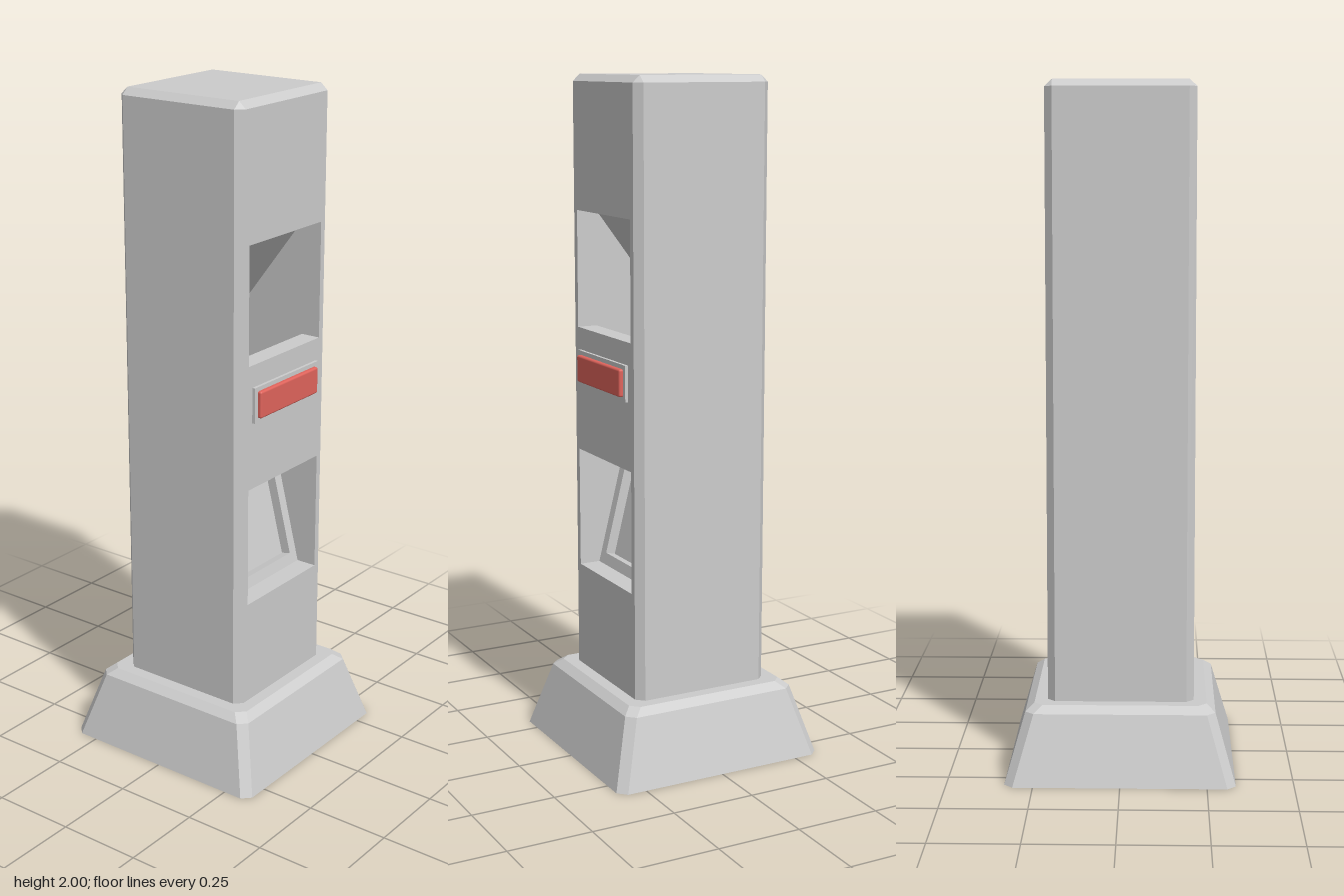
import * as THREE from 'three';
import { RoundedBoxGeometry } from 'three/addons/geometries/RoundedBoxGeometry.js';

const grey = new THREE.MeshStandardMaterial({ color: 0xcccccc });
const red = new THREE.MeshStandardMaterial({ color: 0xe0645c });

function mesh(name, geometry, material = grey) {
  const m = new THREE.Mesh(geometry, material);
  m.name = name;
  return m;
}

// Flat-shaded geometry from polygons, each fanned from its first corner
function fromPolygons(polygons) {
  const pos = [];
  for (const p of polygons)
    for (let i = 1; i < p.length - 1; i++) pos.push(...p[0], ...p[i], ...p[i + 1]);
  const g = new THREE.BufferGeometry();
  g.setAttribute('position', new THREE.Float32BufferAttribute(pos, 3));
  g.computeVertexNormals();
  return g;
}

// Square ring with cut corners; its first edge is the front
function ring(y, h, c) {
  const k = h - c;
  return [[-k, h], [k, h], [h, k], [h, -k], [k, -h], [-k, -h], [-h, -k], [-h, k]]
    .map(([x, z]) => [x, y, z]);
}

// Closed loft through rings; openFront leaves out the lowest front face
function loft(rings, openFront = false) {
  const faces = [[...rings[0]].reverse(), rings[rings.length - 1]];
  for (let r = 0; r < rings.length - 1; r++)
    for (let i = 0; i < 8; i++) {
      if (openFront && r === 0 && i === 0) continue;
      const j = (i + 1) % 8, a = rings[r], b = rings[r + 1];
      faces.push([a[i], a[j], b[j], b[i]]);
    }
  return fromPolygons(faces);
}

function rectangle(x0, x1, y0, y1, Type = THREE.Shape) {
  return new Type([[x0, y0], [x1, y0], [x1, y1], [x0, y1]].map(p => new THREE.Vector2(...p)));
}

// Inward-facing pocket: a [y, z] profile swept across x, with two side walls
function pocket(name, w, profile, skip = -1) {
  const group = new THREE.Group();
  group.name = name;
  const faces = [];
  for (let i = 0; i < profile.length - 1; i++) {
    if (i === skip) continue;
    const p = profile[i], q = profile[i + 1];
    faces.push([[w, ...p], [-w, ...p], [-w, ...q], [w, ...q]]);
  }
  group.add(mesh(name + 'Lining', fromPolygons(faces)));
  for (const s of [-1, 1]) {
    const shape = new THREE.Shape(profile.map(([y, z]) => new THREE.Vector2(s * z, y)));
    const wall = mesh(name + 'SideWall', new THREE.ShapeGeometry(shape));
    wall.rotation.y = -s * Math.PI / 2;
    wall.position.x = s * w;
    group.add(wall);
  }
  return group;
}

export function createModel() {
  const model = new THREE.Group();
  const H = 0.213, W = 0.172, cut = 0.022;

  // Sloping foot with bevelled upper rim
  model.add(mesh('base', loft([ring(0, 0.333, 0.025), ring(0.2, 0.275, 0.025), ring(0.22, 0.25, 0.025)])));

  // Column with chamfered corners
  model.add(mesh('column', loft([ring(0.22, H, cut), ring(1.98, H, cut), ring(2, H - cut, 0)], true)));

  // Front face with its two openings
  const front = rectangle(-H + cut, H - cut, 0.22, 1.98);
  front.holes.push(rectangle(-W, W, 1.265, 1.61, THREE.Path), rectangle(-W, W, 0.535, 0.895, THREE.Path));
  const frontFace = mesh('frontFace', new THREE.ShapeGeometry(front));
  frontFace.position.z = H;
  model.add(frontFace);

  // Upper bin: overhanging slope running back and down behind the lip
  model.add(pocket('upperBin', W, [
    [1.61, H], [1.61, 0.153], [1.265, -0.107], [1, -0.107], [1, 0.153], [1.265, 0.153], [1.265, H],
  ]));

  // Lower recess; its back is the tilted panel
  model.add(pocket('lowerRecess', W, [[0.895, H], [0.895, 0.06], [0.535, 0.15], [0.535, H]], 1));

  // Tilted frame with an inset flap
  const panel = new THREE.Group();
  panel.name = 'tiltedPanel';
  const frame = rectangle(-W, W, 0, Math.hypot(0.36, 0.09));
  frame.holes.push(rectangle(-0.141, 0.141, 0.034, 0.337, THREE.Path));
  const depth = 0.03;
  const frameMesh = mesh('panelFrame', new THREE.ExtrudeGeometry(frame, { depth, bevelEnabled: false }));
  const flap = mesh('insetFlap', new THREE.ShapeGeometry(rectangle(-0.141, 0.141, 0.034, 0.337)));
  frameMesh.position.z = flap.position.z = -depth;
  panel.add(frameMesh, flap);
  panel.position.set(0, 0.535, 0.15);
  panel.rotation.x = -Math.atan2(0.09, 0.36);
  model.add(panel);

  // Push bar on its backing plate
  const plate = mesh('buttonPlate', new THREE.BoxGeometry(0.31, 0.105, 0.02));
  plate.position.set(0, 1.147, 0.212);
  const button = mesh('button', new RoundedBoxGeometry(0.282, 0.08, 0.03, 2, 0.006), red);
  button.position.set(0, 1.147, 0.219);
  model.add(plate, button);

  return model;
}
